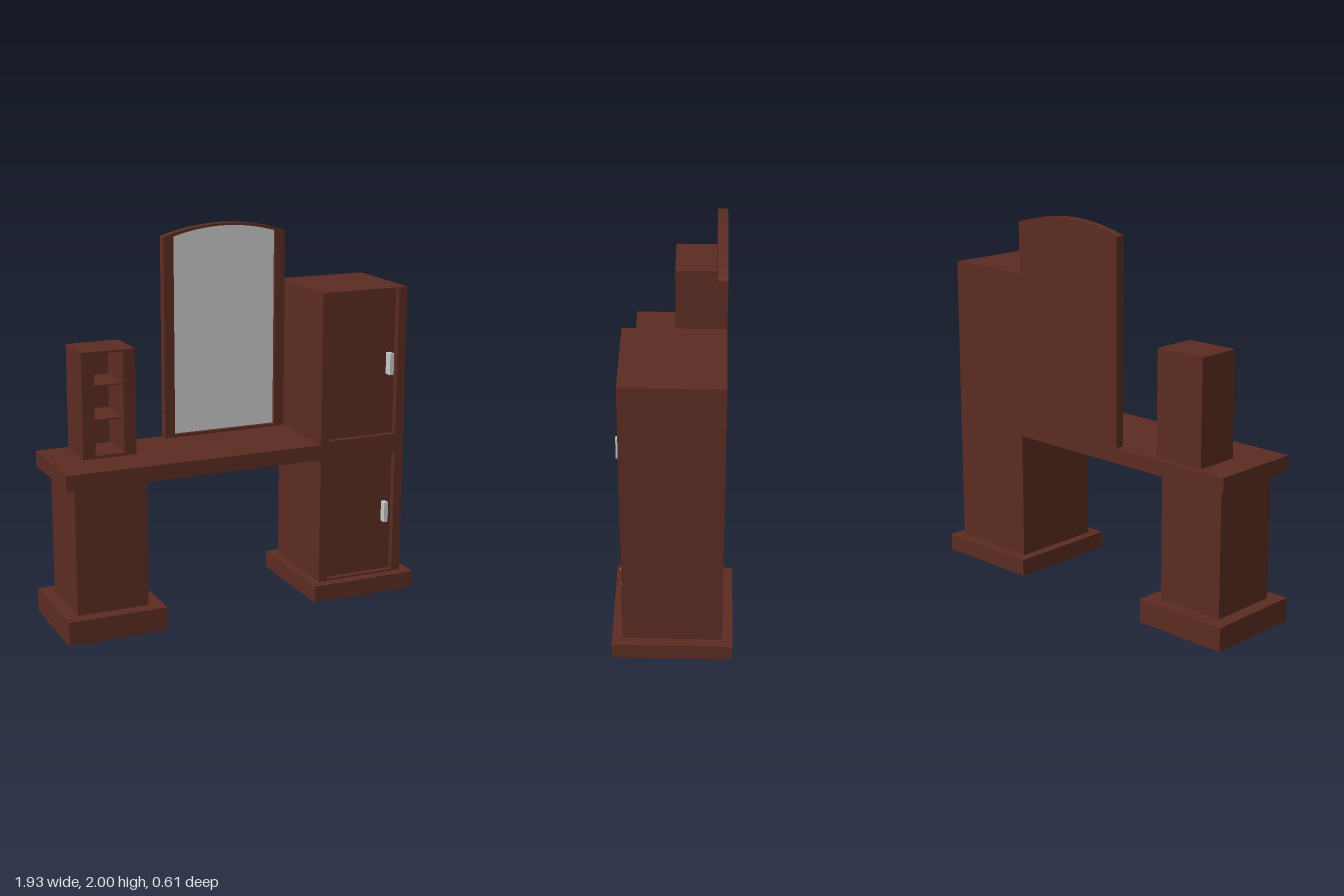
import * as THREE from 'three';

const wood = new THREE.MeshStandardMaterial({ color: 0x5b2c22 });
wood.name = 'dark wood';
const glass = new THREE.MeshStandardMaterial({ color: 0xcacaca });
glass.name = 'silver';

export function createModel() {
  const model = new THREE.Group();
  model.name = 'dressingTable';

  const add = (name, geometry, material) => {
    const mesh = new THREE.Mesh(geometry, material);
    mesh.name = name;
    model.add(mesh);
    return mesh;
  };

  // Box given by its limits on each axis
  const box = (name, x0, x1, y0, y1, z0, z1, material = wood) =>
    add(name, new THREE.BoxGeometry(x1 - x0, y1 - y0, z1 - z0), material)
      .position.set((x0 + x1) / 2, (y0 + y1) / 2, (z0 + z1) / 2);

  // Upright outline; rise > 0 bows the top edge upward as a circular arc
  const outline = (Type, x0, x1, y0, y1, rise = 0) => {
    const shape = new Type();
    shape.moveTo(x0, y0);
    shape.lineTo(x1, y0);
    shape.lineTo(x1, y1);
    if (rise > 0) {
      const half = (x1 - x0) / 2;
      const r = (half * half + rise * rise) / (2 * rise);
      const a = Math.asin(half / r);
      shape.absarc((x0 + x1) / 2, y1 + rise - r, r, Math.PI / 2 - a, Math.PI / 2 + a, false);
    } else shape.lineTo(x0, y1);
    shape.closePath();
    return shape;
  };

  const slab = (name, shape, z0, z1, material = wood) =>
    add(name, new THREE.ExtrudeGeometry(shape, { depth: z1 - z0, bevelEnabled: false, curveSegments: 20 }), material)
      .position.set(0, 0, z0);

  // Left pedestal and table top
  box('leftPlinth', -0.97, -0.445, 0, 0.125, -0.265, 0.26);
  box('leftPedestal', -0.9, -0.52, 0.125, 0.8, -0.19, 0.19);
  box('tableTop', -0.96, 0.425, 0.8, 0.88, -0.25, 0.25);

  // Small open shelf unit
  const shelfFrame = outline(THREE.Shape, -0.795, -0.51, 0.88, 1.43);
  shelfFrame.holes.push(outline(THREE.Path, -0.73, -0.575, 0.895, 1.42));
  slab('shelfUnit', shelfFrame, -0.205, 0.02);
  box('shelfBack', -0.795, -0.51, 0.88, 1.43, -0.22, -0.205);
  for (const y of [1.08, 1.255]) box('shelfBoard', -0.73, -0.575, y - 0.004, y + 0.004, -0.205, 0.02);

  // Arched mirror
  const mirrorFrame = outline(THREE.Shape, -0.265, 0.425, 0.88, 1.945, 0.055);
  mirrorFrame.holes.push(outline(THREE.Path, -0.21, 0.37, 0.895, 1.945, 0.043));
  slab('mirrorFrame', mirrorFrame, -0.23, -0.2);
  slab('mirrorBack', outline(THREE.Shape, -0.265, 0.425, 0.88, 1.945, 0.055), -0.25, -0.23);
  slab('mirrorGlass', outline(THREE.Shape, -0.21, 0.37, 0.895, 1.945, 0.043), -0.23, -0.222, glass);

  // Tall cabinet with two recessed doors
  box('rightPlinth', 0.375, 0.965, 0.035, 0.125, -0.305, 0.305);
  box('cabinetBody', 0.425, 0.915, 0.125, 1.68, -0.25, 0.22);
  const cabinetFront = outline(THREE.Shape, 0.425, 0.915, 0.125, 1.68);
  for (const [y0, y1] of [[0.135, 0.79], [0.895, 1.67]])
    cabinetFront.holes.push(outline(THREE.Path, 0.475, 0.865, y0, y1));
  slab('cabinetFront', cabinetFront, 0.22, 0.25);

  // Door handles
  box('upperHandle', 0.815, 0.838, 1.22, 1.335, 0.22, 0.265, glass);
  box('lowerHandle', 0.808, 0.831, 0.41, 0.52, 0.22, 0.257, glass);

  return model;
}
